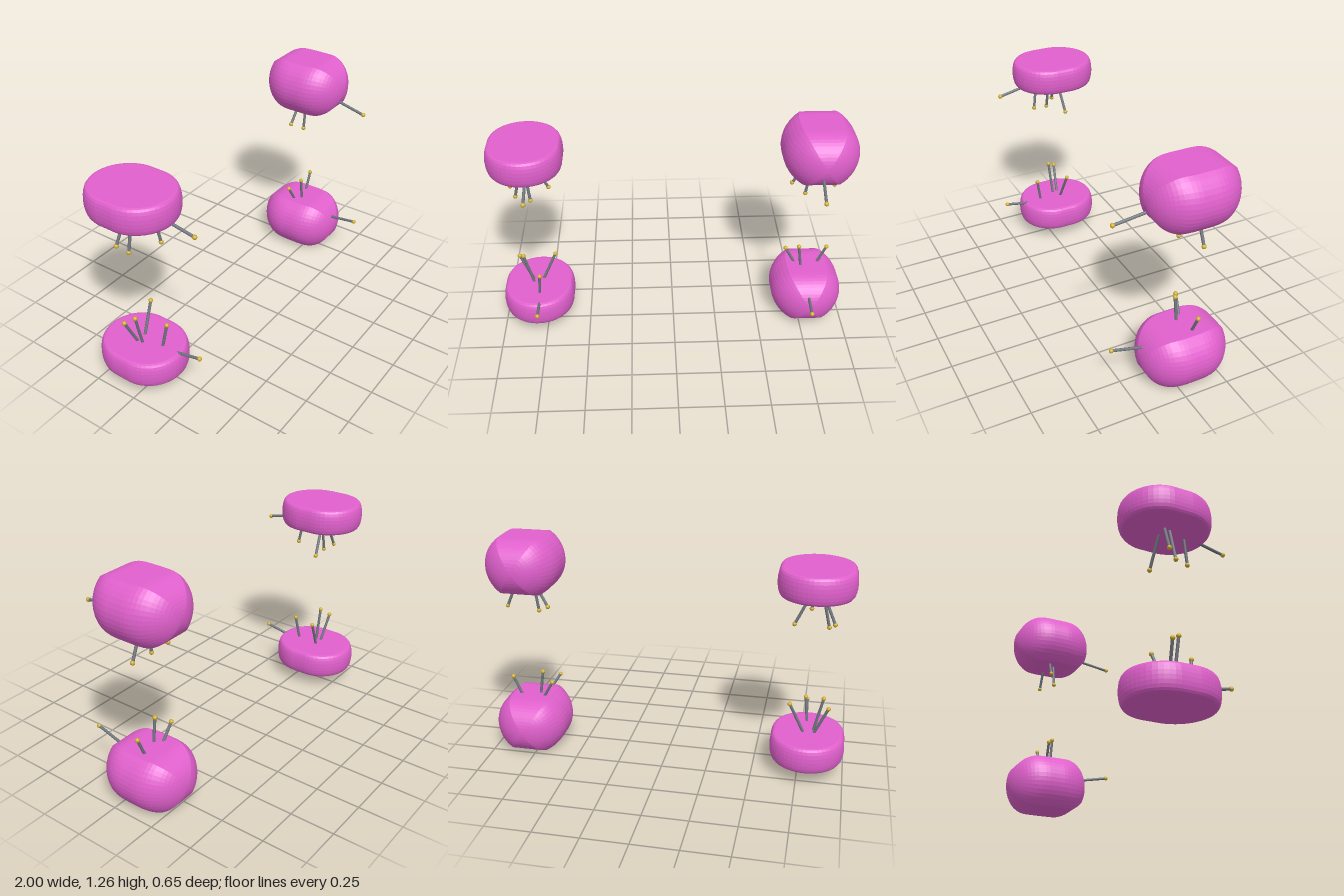
import * as THREE from 'three';

const pink = new THREE.MeshStandardMaterial({ color: 0xe060cc, flatShading: true });
const steel = new THREE.MeshStandardMaterial({ color: 0x70767e });
const gold = new THREE.MeshStandardMaterial({ color: 0xd0b030 });

const MID_Y = 0.631;      // the lower row mirrors the upper row about this height
const CZ = -0.08;         // depth centre of the cushions
const R = 0.205, HALF = 0.243;

// Skin a stack of closed rings and close both ends with fans
function loft(rings) {
  const n = rings[0].length, pos = [], idx = [];
  rings.forEach(r => r.forEach(p => pos.push(p.x, p.y, p.z)));
  for (let i = 0; i < rings.length - 1; i++) {
    for (let j = 0; j < n; j++) {
      const a = i * n + j, b = i * n + (j + 1) % n;
      idx.push(a, b, b + n, a, b + n, a + n);
    }
  }
  [0, rings.length - 1].forEach((i, end) => {
    const c = new THREE.Vector3();
    rings[i].forEach(p => c.addScaledVector(p, 1 / n));
    const k = pos.length / 3;
    pos.push(c.x, c.y, c.z);
    for (let j = 0; j < n; j++) {
      const a = i * n + j, b = i * n + (j + 1) % n;
      if (end) idx.push(k, a, b); else idx.push(k, b, a);
    }
  });
  const g = new THREE.BufferGeometry();
  g.setAttribute('position', new THREE.Float32BufferAttribute(pos, 3));
  g.setIndex(idx);
  const flat = g.toNonIndexed();
  flat.computeVertexNormals();
  return flat;
}

// Flat cushion: oblong plan, bulging rim, flat top and bottom
function flatCushion() {
  const rings = [], steps = 10, n = 48;
  for (let i = 0; i <= steps; i++) {
    const a = (i / steps - 0.5) * Math.PI;
    const y = 0.074 * Math.sin(a);
    const r = R - 0.028 * (1 - Math.pow(Math.cos(a), 0.8));
    const ring = [];
    for (let j = 0; j < n; j++) {
      const t = ((j + 0.5) / n) * Math.PI * 2;
      const s = Math.sin(t);
      ring.push(new THREE.Vector3(r * Math.cos(t), y, -r * s - Math.sign(s) * (HALF - R)));
    }
    rings.push(ring);
  }
  return loft(rings);
}

// Plump cushion: round sides with a flat strip running over the top and bottom
function plumpCushion() {
  const unit = [], cut = 0.82, edge = Math.asin(cut), ex = Math.cos(edge);
  for (const side of [1, -1]) {
    for (let i = 0; i <= 14; i++) {
      const a = -edge + (2 * edge * i) / 14;
      unit.push([side * Math.cos(a), side * Math.sin(a) / cut]);
    }
    for (let i = 1; i < 6; i++) unit.push([side * ex * (1 - i / 3), side]);
  }
  // Half breadth at depth z of an oblong with round ends of radius r
  const oblong = (z, r) => {
    const d = Math.max(0, Math.abs(z) - (HALF - r));
    return Math.sqrt(Math.max(1e-8, r * r - d * d));
  };
  const rings = [], steps = 32;
  for (let i = 0; i <= steps; i++) {
    const z = -HALF * Math.cos((i / steps) * Math.PI);
    const w = oblong(z, R), h = oblong(z, 0.153);
    rings.push(unit.map(([x, y]) => new THREE.Vector3(x * w, y * h, z)));
  }
  return loft(rings);
}

// Pin: thin shaft from inside the cushion to a round head
function pin(root, head) {
  const g = new THREE.Group();
  g.name = 'pin';
  const a = new THREE.Vector3(...root), b = new THREE.Vector3(...head);
  const dir = b.clone().sub(a).normalize();
  a.addScaledVector(dir, -0.03);
  const shaft = new THREE.Mesh(new THREE.CylinderGeometry(0.008, 0.008, a.distanceTo(b), 10), steel);
  shaft.name = 'pinShaft';
  shaft.position.copy(a).lerp(b, 0.5);
  shaft.quaternion.setFromUnitVectors(new THREE.Vector3(0, 1, 0), dir);
  const ball = new THREE.Mesh(new THREE.SphereGeometry(0.0125, 14, 10), gold);
  ball.name = 'pinHead';
  ball.position.copy(b);
  g.add(shaft, ball);
  return g;
}

// Pins of the upper cushions: [root, head]
const flatPins = [
  [[-0.83, 1.035, -0.1], [-0.9, 0.875, -0.115]],
  [[-0.825, 1.035, -0.07], [-0.87, 0.84, -0.065]],
  [[-0.785, 1.035, 0.035], [-0.77, 0.895, 0.058]],
  [[-0.77, 1.035, -0.1], [-0.69, 0.865, -0.115]],
  [[-0.78, 1.045, 0.1], [-0.775, 1.01, 0.27]],
];
const plumpPins = [
  [[0.73, 0.965, -0.105], [0.67, 0.862, -0.115]],
  [[0.76, 0.96, -0.07], [0.74, 0.82, -0.068]],
  [[0.86, 0.965, -0.1], [0.91, 0.85, -0.102]],
  [[0.785, 1.042, 0.13], [0.77, 1.007, 0.313]],
];

export function createModel() {
  const model = new THREE.Group();
  model.name = 'pinCushions';
  const kinds = [
    ['flatCushion', flatCushion(), -0.795, flatPins],
    ['plumpCushion', plumpCushion(), 0.795, plumpPins],
  ];
  for (const [name, geometry, x, pins] of kinds) {
    for (const row of ['upper', 'lower']) {
      const flip = y => (row === 'upper' ? y : 2 * MID_Y - y);
      const set = new THREE.Group();
      set.name = `${row} ${name}`;
      const body = new THREE.Mesh(geometry, pink);
      body.name = name;
      body.position.set(x, flip(1.106), CZ);
      set.add(body);
      for (const [r, h] of pins) {
        set.add(pin([r[0], flip(r[1]), r[2]], [h[0], flip(h[1]), h[2]]));
      }
      model.add(set);
    }
  }
  return model;
}
